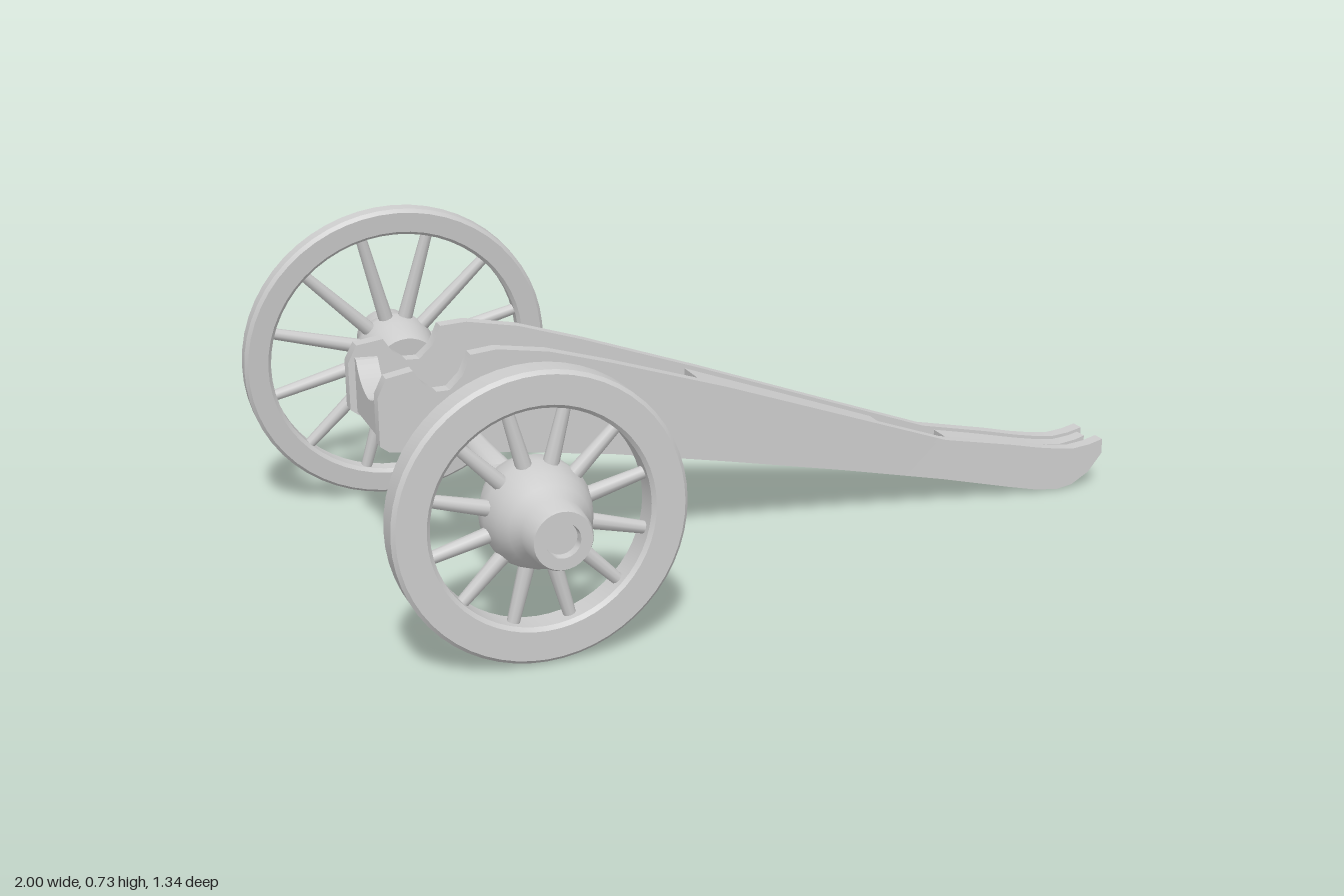
import * as THREE from 'three';
import { toCreasedNormals } from 'three/addons/utils/BufferGeometryUtils.js';

const material = new THREE.MeshStandardMaterial({ color: 0xcccccc });

function addMesh(parent, name, geometry) {
  const mesh = new THREE.Mesh(geometry, material);
  mesh.name = name;
  parent.add(mesh);
  return mesh;
}

// Closed beam along x from stations [x, yBottom, yTop, zMin, zMax]
function beam(stations) {
  const pos = [], idx = [];
  for (const [x, yb, yt, z0, z1] of stations) pos.push(x, yb, z0, x, yb, z1, x, yt, z1, x, yt, z0);
  for (let i = 0; i < stations.length - 1; i++) {
    for (let k = 0; k < 4; k++) {
      const a = i * 4 + k, b = i * 4 + (k + 1) % 4;
      idx.push(a, a + 4, b + 4, a, b + 4, b);
    }
  }
  const e = (stations.length - 1) * 4;
  idx.push(0, 1, 2, 0, 2, 3, e, e + 2, e + 1, e, e + 3, e + 2);
  const g = new THREE.BufferGeometry();
  g.setAttribute('position', new THREE.Float32BufferAttribute(pos, 3));
  g.setIndex(idx);
  return toCreasedNormals(g, 0.5);
}

function turned(points, segments) {
  const g = new THREE.LatheGeometry(points.map(([r, y]) => new THREE.Vector2(r, y)), segments);
  return toCreasedNormals(g, 0.6);
}

// Interpolate in a list of [x, value...] rows
function sample(rows, x) {
  let i = 0;
  while (i < rows.length - 2 && x > rows[i + 1][0]) i++;
  const t = (x - rows[i][0]) / (rows[i + 1][0] - rows[i][0]);
  return rows[i].slice(1).map((v, k) => v + (rows[i + 1][k + 1] - v) * t);
}

// Spoked wheel whose outer side faces +z
function makeWheel(name, { radius, inner, half, hub, spokes }) {
  const wheel = new THREE.Group();
  wheel.name = name;
  const c = 0.008;
  addMesh(wheel, 'rim', turned([
    [inner, -half + c], [inner + c, -half], [radius - c, -half], [radius, -half + c],
    [radius, half - c], [radius - c, half], [inner + c, half], [inner, half - c], [inner, -half + c],
  ], 56).rotateX(Math.PI / 2));
  addMesh(wheel, 'hub', turned(hub, 32).rotateX(Math.PI / 2));
  const r0 = 0.07, len = inner + 0.015 - r0;
  for (let i = 0; i < spokes; i++) {
    const g = new THREE.CylinderGeometry(0.013, 0.018, len, 10);
    g.translate(0, r0 + len / 2, 0).rotateZ((i + 0.5) / spokes * Math.PI * 2);
    addMesh(wheel, 'spoke', g);
  }
  return wheel;
}

export function createModel() {
  const model = new THREE.Group();
  model.name = 'gunCarriage';

  // Wheels: a smaller upright one and a larger leaning one
  const frontWheel = makeWheel('frontWheel', {
    radius: 0.308, inner: 0.23, half: 0.036, spokes: 12,
    hub: [[0, -0.11], [0.088, -0.11], [0.095, -0.09], [0.112, -0.045], [0.114, 0], [0.1, 0.045],
      [0.085, 0.075], [0.068, 0.1], [0.064, 0.15], [0.06, 0.158], [0.036, 0.158], [0.034, 0.14], [0, 0.14]],
  });
  frontWheel.position.set(-0.61, 0.315, 0.51);
  const backWheel = makeWheel('backWheel', {
    radius: 0.368, inner: 0.305, half: 0.023, spokes: 12,
    hub: [[0, -0.11], [0.076, -0.11], [0.082, -0.09], [0.09, -0.04], [0.096, 0], [0.092, 0.025],
      [0.076, 0.05], [0.07, 0.07], [0.07, 0.11], [0.065, 0.118], [0.04, 0.118], [0.038, 0.1], [0, 0.1]],
  });
  backWheel.position.set(-0.633, 0.37, -0.55);
  backWheel.rotation.set(0.116, Math.PI, 0);
  model.add(frontWheel, backWheel);

  // Turned axle with collars, rising slightly to the larger wheel
  const from = new THREE.Vector3(-0.63, 0.36, -0.46), to = new THREE.Vector3(-0.615, 0.312, 0.42);
  const axle = addMesh(model, 'axle', turned([
    [0, 0], [0.02, 0], [0.021, 0.1], [0.034, 0.105], [0.034, 0.13], [0.028, 0.14], [0.028, 0.17], [0.042, 0.175],
    [0.042, 0.2], [0.028, 0.23], [0.026, 0.45], [0.029, 0.6], [0.034, 0.74], [0.024, 0.76], [0.024, 0.8],
    [0.036, 0.805], [0.036, 0.835], [0.02, 0.84], [0.02, 0.88], [0, 0.88],
  ], 24));
  axle.position.copy(from);
  axle.quaternion.setFromUnitVectors(new THREE.Vector3(0, 1, 0), to.clone().sub(from).normalize());
  for (const [z, y] of [[0.305, 0.3], [-0.29, 0.35]]) {
    const clip = addMesh(model, 'axleClip', new THREE.BoxGeometry(0.055, 0.105, 0.028));
    clip.position.set(-0.62, y, z);
  }

  // Long side cheeks: shared side profile [x, bottom, top] with a trunnion notch
  const profile = [
    [-0.82, 0.34, 0.45], [-0.8, 0.325, 0.49], [-0.74, 0.315, 0.5], [-0.72, 0.312, 0.47], [-0.69, 0.308, 0.447],
    [-0.66, 0.304, 0.447], [-0.63, 0.3, 0.475], [-0.61, 0.298, 0.52], [-0.55, 0.29, 0.525], [-0.43, 0.27, 0.505],
    [-0.28, 0.245, 0.46], [0, 0.187, 0.368], [0.3, 0.125, 0.262], [0.57, 0.067, 0.168], [0.75, 0.025, 0.135],
    [0.82, 0.01, 0.12], [0.88, 0.004, 0.11], [0.92, 0.012, 0.106], [0.965, 0.04, 0.112], [1, 0.085, 0.122],
  ];
  const plan = {
    frontCheek: [[-0.82, 0.02, 0.055], [-0.45, 0, 0.038], [-0.05, -0.015, 0.02], [0.43, -0.012, 0.02], [1, 0.015, 0.048]],
    backCheek: [[-0.82, -0.262, -0.225], [-0.3, -0.212, -0.178], [0, -0.175, -0.143], [0.55, -0.128, -0.095], [1, -0.086, -0.052]],
  };
  for (const [name, rows] of Object.entries(plan)) {
    addMesh(model, name, beam(profile.map((p) => [...p, ...sample(rows, p[0])])));
  }

  // Deck plate between the cheeks and the thick inner block at the trail end
  const between = (x) => [sample(plan.backCheek, x)[1] - 0.01, sample(plan.frontCheek, x)[0] + 0.01];
  addMesh(model, 'deck', beam([-0.04, 0.2, 0.43].map((x) => {
    const top = sample(profile, x)[1] - 0.01;
    return [x, top - 0.045, top, ...between(x)];
  })));
  addMesh(model, 'trailBlock', beam([0.6, 0.7, 0.82, 0.88, 0.92, 0.965, 0.99].map((x) => {
    const [bottom, top] = sample(profile, x);
    const z = sample(plan.backCheek, x)[1];
    return [x, bottom + 0.006, top - 0.008, z - 0.01, Math.min(z + 0.06, -0.02)];
  })));

  // Hollowed crosspiece joining the cheeks at the breast
  const cradle = new THREE.Shape();
  cradle.moveTo(-0.24, 0.335);
  cradle.lineTo(0.03, 0.335);
  cradle.lineTo(0.03, 0.465);
  cradle.lineTo(0, 0.46);
  cradle.quadraticCurveTo(-0.03, 0.405, -0.105, 0.4);
  cradle.quadraticCurveTo(-0.18, 0.405, -0.21, 0.46);
  cradle.lineTo(-0.24, 0.465);
  const cradleGeometry = new THREE.ExtrudeGeometry(cradle, { depth: 0.05, bevelEnabled: false, curveSegments: 10 });
  addMesh(model, 'breastCrosspiece', cradleGeometry.rotateY(-Math.PI / 2).translate(-0.755, 0, 0));

  return model;
}
